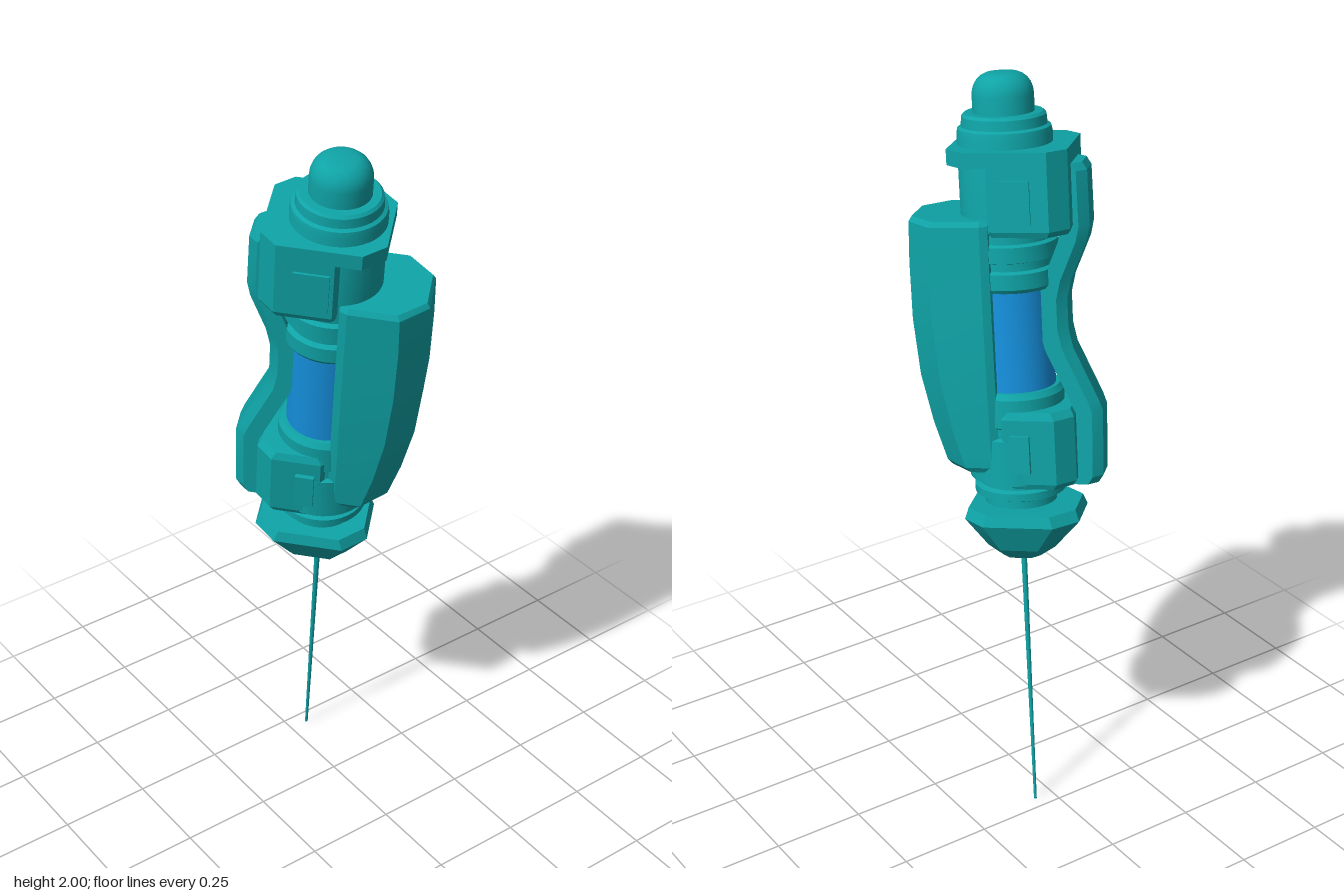
import * as THREE from 'three';
import { toCreasedNormals } from 'three/addons/utils/BufferGeometryUtils.js';

const teal = new THREE.MeshStandardMaterial({ color: 0x0fa3a6 });
teal.name = 'teal casing';
const blue = new THREE.MeshStandardMaterial({ color: 0x1590dd });
blue.name = 'blue fluid';

// Convex cross-sections [x, z] stacked up the axis, with capped ends.
function loft(sections) {
  const pos = [];
  const n = sections[0].pts.length;
  const at = (i, j) => [sections[i].pts[j % n][0], sections[i].y, sections[i].pts[j % n][1]];
  const tri = (a, b, c) => pos.push(...a, ...b, ...c);
  for (let i = 0; i < sections.length - 1; i++) {
    for (let j = 0; j < n; j++) {
      tri(at(i, j), at(i + 1, j), at(i, j + 1));
      tri(at(i, j + 1), at(i + 1, j), at(i + 1, j + 1));
    }
  }
  const top = sections.length - 1;
  for (let j = 1; j < n - 1; j++) {
    tri(at(0, 0), at(0, j), at(0, j + 1));
    tri(at(top, 0), at(top, j + 1), at(top, j));
  }
  const geo = new THREE.BufferGeometry();
  geo.setAttribute('position', new THREE.Float32BufferAttribute(pos, 3));
  geo.computeVertexNormals();
  return toCreasedNormals(geo, 0.25);
}

// Rectangle with chamfered corners: half width, back, front, chamfers.
function octagon(w, back, front, cb, cf) {
  return [
    [-w + cb, back], [w - cb, back], [w, back + cb], [w, front - cf],
    [w - cf, front], [-w + cf, front], [-w, front - cf], [-w, back + cb],
  ];
}

const prism = (pts, y0, y1) => loft([{ y: y0, pts }, { y: y1, pts }]);

function turned(profile, segments = 40) {
  const pts = profile.map(([r, y]) => new THREE.Vector2(r, y));
  return toCreasedNormals(new THREE.LatheGeometry(pts, segments), 0.5);
}

export function createModel() {
  const model = new THREE.Group();
  model.name = 'injector';
  const body = new THREE.Group();
  body.name = 'tiltedBody';
  model.add(body);

  const add = (name, geo, mat = teal) => {
    const mesh = new THREE.Mesh(geo, mat);
    mesh.name = name;
    body.add(mesh);
    return mesh;
  };

  // Needle
  add('needle', new THREE.CylinderGeometry(0.008, 0.004, 0.78, 12).translate(0, 0.39, 0));
  add('needleSocket', new THREE.CylinderGeometry(0.035, 0.028, 0.05, 16).translate(0, 0.755, 0));

  // Faceted nose
  add('nose', loft([
    { y: 0.74, pts: octagon(0.05, -0.05, 0.05, 0.022, 0.022) },
    { y: 0.775, pts: octagon(0.088, -0.095, 0.085, 0.04, 0.04) },
    { y: 0.855, pts: octagon(0.13, -0.165, 0.14, 0.06, 0.06) },
    { y: 0.885, pts: octagon(0.122, -0.155, 0.13, 0.06, 0.06) },
  ]));

  // Stepped neck and lower barrel
  add('lowerBarrel', turned([
    [0, 0.87], [0.065, 0.87], [0.065, 0.895], [0.095, 0.895], [0.095, 0.915],
    [0.12, 0.925], [0.12, 0.945], [0.105, 0.95], [0.105, 0.965], [0.13, 0.97],
    [0.13, 1.09], [0.118, 1.095], [0.118, 1.12], [0.125, 1.125],
    [0.125, 1.2], [0.115, 1.215], [0, 1.215],
  ]));

  // Fluid tube
  add('fluidTube', turned([[0.104, 1.2], [0.104, 1.49]]), blue);

  // Upper barrel with rings
  add('upperBarrel', turned([
    [0, 1.48], [0.115, 1.48], [0.122, 1.49], [0.122, 1.53], [0.108, 1.535],
    [0.108, 1.555], [0.125, 1.56], [0.125, 1.6], [0.112, 1.605], [0.112, 1.63],
    [0.121, 1.635], [0.121, 1.87], [0.118, 1.885], [0.109, 1.89],
    [0.107, 1.915], [0.1, 1.922], [0, 1.922],
  ]));

  // Rounded push button
  const cap = [[0.078, 1.91], [0.078, 1.965]];
  for (let i = 1; i <= 6; i++) {
    const a = (i / 6) * Math.PI / 2;
    cap.push([0.03 + 0.048 * Math.cos(a), 1.965 + 0.055 * Math.sin(a)]);
  }
  cap.push([0, 2.022]);
  add('pushButton', turned(cap));

  // Collar and the two rear housings
  add('collar', prism(octagon(0.145, -0.175, 0.132, 0.045, 0.052), 1.805, 1.845));
  add('upperHousing', loft([
    { y: 1.63, pts: octagon(0.138, -0.168, 0.02, 0.045, 0.01) },
    { y: 1.645, pts: octagon(0.145, -0.175, 0.025, 0.045, 0.01) },
    { y: 1.82, pts: octagon(0.145, -0.175, 0.025, 0.045, 0.01) },
  ]));
  add('lowerHousing', loft([
    { y: 0.96, pts: octagon(0.118, -0.155, 0.0, 0.045, 0.01) },
    { y: 0.975, pts: octagon(0.125, -0.165, 0.02, 0.045, 0.01) },
    { y: 1.15, pts: octagon(0.132, -0.165, 0.02, 0.045, 0.01) },
    { y: 1.17, pts: octagon(0.125, -0.155, 0.01, 0.045, 0.01) },
  ]));

  // Raised side panels
  for (const side of [-1, 1]) {
    add('upperSidePanel', new THREE.BoxGeometry(0.012, 0.11, 0.09).translate(side * 0.146, 1.72, -0.04));
    add('lowerSidePanel', new THREE.BoxGeometry(0.03, 0.1, 0.05).translate(side * 0.128, 1.06, -0.03));
  }

  // Bowed rear strap joining the housings
  const strap = [
    [0.955, 0.215], [0.975, 0.228], [1.15, 0.232], [1.18, 0.222], [1.32, 0.16],
    [1.37, 0.15], [1.45, 0.15], [1.5, 0.162], [1.6, 0.205], [1.64, 0.214], [1.78, 0.212], [1.8, 0.2],
  ];
  add('rearStrap', loft(strap.map(([y, d]) => ({
    y,
    pts: [[-0.035, -d], [0.035, -d], [0.058, 0.025 - d], [0.058, 0.07 - d], [-0.058, 0.07 - d], [-0.058, 0.025 - d]],
  }))));

  // Curved faceted front grip: height, half width, shoulder, face half width, face depth
  const grip = [
    [1.0, 0.108, 0.108, 0.045, 0.17], [1.015, 0.118, 0.12, 0.05, 0.182],
    [1.12, 0.126, 0.147, 0.055, 0.212], [1.25, 0.132, 0.17, 0.06, 0.238],
    [1.4, 0.135, 0.182, 0.062, 0.25], [1.55, 0.134, 0.184, 0.062, 0.25],
    [1.655, 0.132, 0.18, 0.062, 0.246], [1.668, 0.124, 0.172, 0.058, 0.238],
  ];
  add('frontGrip', loft(grip.map(([y, w, shoulder, face, out]) => ({
    y,
    pts: [[-w + 0.01, 0.03], [w - 0.01, 0.03], [w, 0.05], [w, shoulder], [face, out], [-face, out], [-w, shoulder], [-w, 0.05]],
  }))));

  // Lean the whole body along its axis, turned an eighth about it
  const axis = new THREE.Vector3(-0.09, 2, 0.295).normalize();
  body.quaternion.setFromUnitVectors(new THREE.Vector3(0, 1, 0), axis);
  body.quaternion.multiply(new THREE.Quaternion().setFromAxisAngle(new THREE.Vector3(0, 1, 0), Math.PI / 4));
  body.position.set(0.055, 0, -0.213);
  return model;
}
